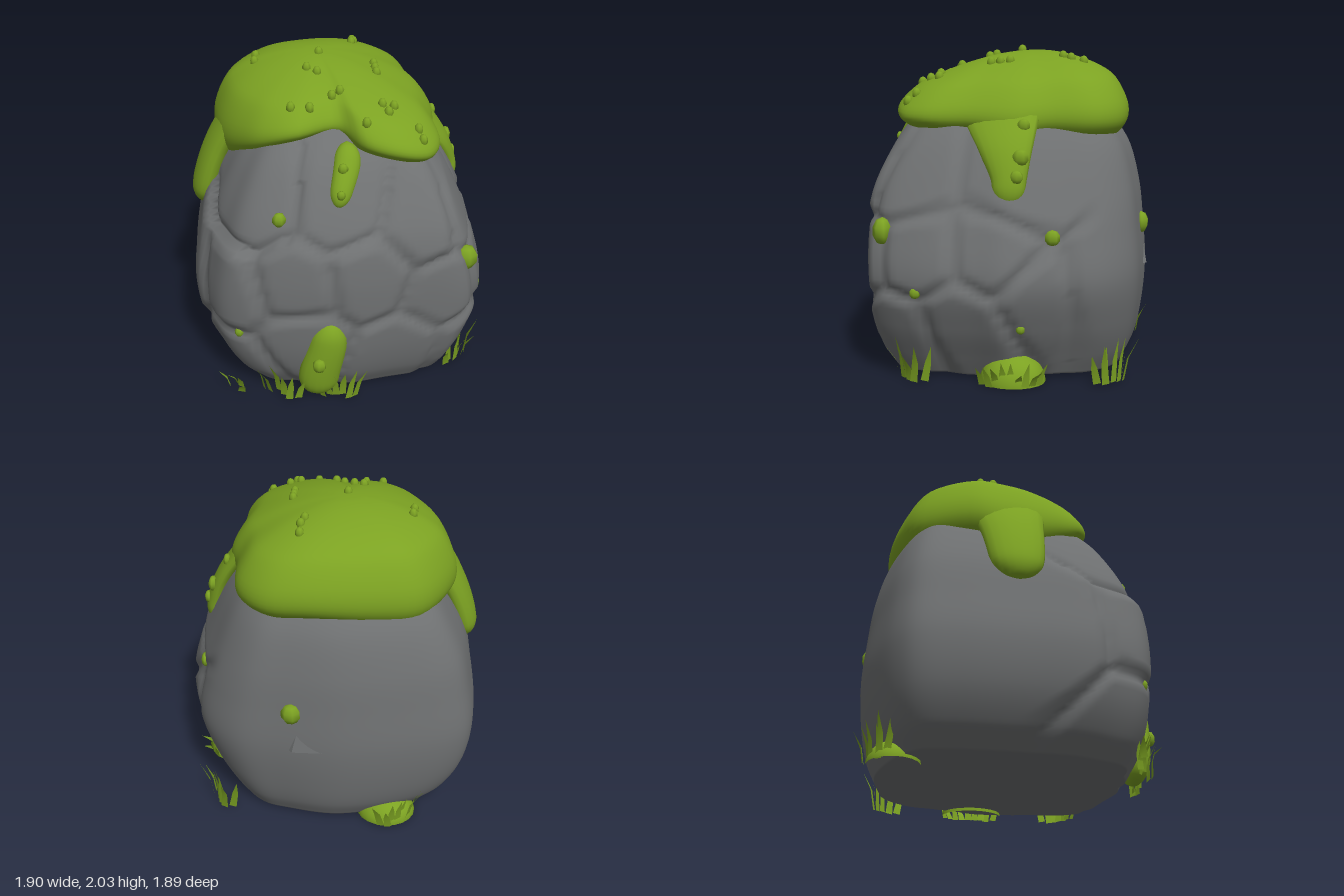
import * as THREE from 'three';

const V = (x, y, z) => new THREE.Vector3(x, y, z);
const mat = (name, color, side = THREE.FrontSide) => {
  const m = new THREE.MeshStandardMaterial({ color, side });
  m.name = name;
  return m;
};

let seed = 7;
const rand = () => (seed = (seed * 16807) % 2147483647) / 2147483647;

// Skin a stack of closed rings (bottom to top) and close both ends
function loft(rings) {
  const n = rings[0].length, pos = [], idx = [];
  rings.forEach(r => r.forEach(p => pos.push(p.x, p.y, p.z)));
  for (let i = 0; i < rings.length - 1; i++) for (let j = 0; j < n; j++) {
    const a = i * n + j, b = i * n + (j + 1) % n;
    idx.push(a, a + n, b, a + n, b + n, b);
  }
  [0, rings.length - 1].forEach(k => {
    const c = rings[k].reduce((s, p) => s.add(p), V(0, 0, 0)).divideScalar(n);
    const ci = pos.length / 3;
    pos.push(c.x, c.y, c.z);
    for (let j = 0; j < n; j++) {
      const a = k * n + j, b = k * n + (j + 1) % n;
      k ? idx.push(a, ci, b) : idx.push(a, b, ci);
    }
  });
  const g = new THREE.BufferGeometry();
  g.setAttribute('position', new THREE.Float32BufferAttribute(pos, 3));
  g.setIndex(idx);
  g.computeVertexNormals();
  return g;
}

// Boulder: half-extents by height as [y, +x, -x, +z, -z]
const SECTIONS = [
  [0.02, 0.70, 0.70, 0.74, 0.80], [0.15, 0.77, 0.82, 0.81, 0.86], [0.35, 0.87, 0.92, 0.86, 0.90],
  [0.62, 0.95, 0.96, 0.88, 0.92], [0.9, 0.89, 0.92, 0.88, 0.90], [1.15, 0.79, 0.86, 0.84, 0.87],
  [1.4, 0.67, 0.74, 0.72, 0.80], [1.55, 0.57, 0.64, 0.62, 0.70], [1.68, 0.46, 0.52, 0.48, 0.55],
  [1.82, 0.28, 0.3, 0.26, 0.34],
];
// Boulder plan at its widest as [x, z]
const PLAN = [
  [0.95, -0.05], [0.93, 0.12], [0.91, 0.35], [0.88, 0.5], [0.82, 0.67], [0.73, 0.77], [0.3, 0.84], [-0.1, 0.88],
  [-0.55, 0.82], [-0.78, 0.71], [-0.88, 0.52], [-0.95, 0.33], [-0.96, 0], [-0.95, -0.4], [-0.9, -0.65],
  [-0.79, -0.75], [-0.55, -0.84], [-0.1, -0.92], [0.3, -0.88], [0.55, -0.82], [0.75, -0.65], [0.86, -0.4],
  [0.92, -0.2],
];
// Stone chunks on the front and left faces as [x, y, z, how far they stand out]
const CHUNKS = [
  [-0.05, 1.32, 0.73, -0.025], [0.45, 1.2, 0.75, 0.01], [-0.75, 0.75, 0.68, 0], [-0.32, 0.45, 0.85, -0.01],
  [0.1, 0.9, 0.86, 0], [0.6, 0.75, 0.8, -0.01], [0.3, 0.3, 0.83, 0], [-0.55, 1.3, 0.58, -0.06],
  [-0.75, 0.25, 0.65, -0.01], [-0.35, 0.85, 0.85, -0.01], [0.75, 0.3, 0.6, 0], [0.88, 0.8, 0.5, -0.01],
  [0.72, 1.2, 0.58, -0.005], [0.75, 1.15, -0.15, 0], [0.88, 0.35, 0.2, 0], [0.93, 0.55, -0.3, -0.01],
  [0.9, 0.83, -0.02, -0.015], [0.8, 0.6, -0.65, 0], [-0.93, 0.7, 0.2, 0],
].map(([x, y, z, out]) => ({ seat: V(x, y, z), out }));

function boulder() {
  const curves = [1, 2, 3, 4].map(k =>
    new THREE.CatmullRomCurve3(SECTIONS.map(s => V(s[k], s[0], 0)), false, 'centripetal'));
  const rows = 90, cols = 160, rings = [];
  const plan = new THREE.CatmullRomCurve3(PLAN.map(([x, z]) => V(x, 0, z)), true, 'centripetal')
    .getSpacedPoints(cols).slice(0, cols);
  for (let i = 0; i <= rows; i++) {
    const [xp, xn, zp, zn] = curves.map(c => c.getPoint(i / rows));
    rings.push(plan.map(q => {
      const p = V(q.x * (q.x > 0 ? xp.x / 0.95 : xn.x / 0.96), xp.y,
        q.z * (q.z > 0 ? zp.x / 0.88 : zn.x / 0.92));
      // Cracks run where the two nearest chunks are equally far
      const d = CHUNKS.map(c => [c.seat.distanceTo(p), c.out]).sort((a, b) => a[0] - b[0]);
      const gap = Math.max(0, 1 - (d[1][0] - d[0][0]) / 0.12);
      const side = p.x - 0.4 + Math.min(0, p.z + 0.3);
      const mask = THREE.MathUtils.smoothstep(Math.max(p.z, side), -0.1, 0.25);
      const k = 1 + mask * (d[0][1] - 0.035 * gap);
      p.x *= k; p.z *= k;
      return p;
    }));
  }
  return loft(rings);
}

// Moss cap: outline as [x, lip height, z], swept with a rounded lip profile
const OUTLINE = [
  [0.62, 1.44, -0.1], [0.58, 1.48, 0.2], [0.57, 1.49, 0.45], [0.48, 1.5, 0.6], [0.3, 1.55, 0.66], [0.1, 1.6, 0.61],
  [-0.05, 1.65, 0.44], [-0.3, 1.64, 0.51], [-0.5, 1.56, 0.43], [-0.64, 1.46, 0.27], [-0.74, 1.38, 0.08],
  [-0.78, 1.36, -0.12], [-0.77, 1.4, -0.32], [-0.58, 1.4, -0.64], [-0.32, 1.43, -0.74], [0.1, 1.47, -0.79],
  [0.36, 1.45, -0.74], [0.52, 1.45, -0.58], [0.56, 1.46, -0.3],
];
const LIP = [[0.72, 0.1], [0.88, 0.02], [0.97, 0.12], [1, 0.26], [0.97, 0.44], [0.87, 0.66],
  [0.75, 0.78], [0.55, 0.89], [0.3, 0.97], [0.1, 1]];

function mossCap() {
  const edge = new THREE.CatmullRomCurve3(OUTLINE.map(p => V(...p)), true).getPoints(96).slice(0, 96);
  const profile = new THREE.SplineCurve(LIP.map(p => new THREE.Vector2(...p))).getPoints(27);
  const ramp = v => (v + Math.hypot(v, 0.25)) / 2;
  return loft(profile.map(({ x: f, y: a }) => edge.map(p => {
    const x = -0.12 + (p.x + 0.12) * f, z = -0.14 + (p.z + 0.14) * f;
    // The crown slopes down towards the front and the left
    const slope = 0.18 * (ramp(x - 0.1) + ramp(z));
    return V(x, p.y + (2.015 - p.y - slope) * a, z);
  })));
}

// Moss run: path from bottom to top as [x, y, z, half width], lying on a face with normal n
function mossRun(path, n, depth, roundTop = false) {
  const curve = new THREE.CatmullRomCurve3(path.map(p => V(p[0], p[1], p[2])));
  const width = new THREE.CatmullRomCurve3(path.map(p => V(p[3], 0, 0)));
  const rings = [];
  for (let i = 0; i <= 24; i++) {
    const t = i / 24, u = curve.getTangent(t), p = curve.getPoint(t);
    const across = u.clone().cross(n).normalize(), out = across.clone().cross(u);
    const round = q => Math.sqrt(Math.max(0.01, 1 - (1 - Math.min(1, q / 0.25)) ** 2));
    const s = round(t) * (roundTop ? round(1 - t) : 1);
    rings.push(Array.from({ length: 18 }, (_, j) => {
      const a = j / 18 * Math.PI * 2;
      return p.clone().addScaledVector(across, Math.cos(a) * width.getPoint(t).x * s)
        .addScaledVector(out, Math.sin(a) * depth * s);
    }));
  }
  return loft(rings);
}

// Grass blade: a tapering strip that bends outward
function blade(h, w, lean) {
  const pos = [];
  [[0, 1], [0.5, 0.8], [1, 0]].forEach(([t, k]) =>
    pos.push(-w * k, h * t, lean * t * t, w * k, h * t, lean * t * t));
  const g = new THREE.BufferGeometry();
  g.setAttribute('position', new THREE.Float32BufferAttribute(pos, 3));
  g.setIndex([0, 1, 3, 0, 3, 2, 2, 3, 5]);
  g.computeVertexNormals();
  return g;
}

export function createModel() {
  const root = new THREE.Group();
  const stone = mat('stone grey', 0x6f7172);
  const moss = mat('moss green', 0x7ca222);
  const grass = mat('grass green', 0x7ca222, THREE.DoubleSide);
  const add = (name, geo, m, parent = root) => {
    const mesh = new THREE.Mesh(geo, m);
    mesh.name = name;
    parent.add(mesh);
    return mesh;
  };

  const rock = add('boulder', boulder(), stone);
  // Stone wedge sticking out of the back
  const wedgeGeo = new THREE.CylinderGeometry(0.08, 0.2, 0.3, 5).toNonIndexed();
  wedgeGeo.computeVertexNormals();
  const wedge = add('backWedge', wedgeGeo, stone);
  wedge.scale.z = 0.4;
  wedge.position.set(0.07, 0.78, -0.845);
  wedge.rotation.x = 0.06;

  // Moss draped over the top and running down
  const cap = add('mossCap', mossCap(), moss);
  const leftRun = add('leftMossRun', mossRun([[0.76, 1.07, -0.07, 0.09], [0.74, 1.22, -0.08, 0.105],
    [0.67, 1.4, -0.06, 0.16], [0.5, 1.62, -0.02, 0.25]], V(1, 0, 0), 0.06), moss);
  add('rightMossRun', mossRun([[-0.88, 1.0, -0.07, 0.13], [-0.85, 1.18, -0.07, 0.17], [-0.76, 1.42, -0.08, 0.2],
    [-0.6, 1.68, -0.1, 0.26]], V(-1, 0, 0), 0.09), moss);
  const drip = add('frontMossDrip', mossRun([[-0.08, 1.32, 0.71, 0.05], [-0.05, 1.42, 0.67, 0.07],
    [-0.01, 1.54, 0.59, 0.08], [0, 1.65, 0.5, 0.07]], V(0, 0, 1), 0.06, true), moss);
  const pod = add('frontMossPod', mossRun([[-0.21, 0.01, 0.77, 0.12], [-0.2, 0.2, 0.81, 0.13],
    [-0.15, 0.43, 0.83, 0.12], [-0.13, 0.61, 0.82, 0.09]], V(0, 0, 1), 0.085, true), moss);

  // Small moss clumps, dropped onto a surface along one axis
  const lumps = new THREE.Group();
  lumps.name = 'mossLumps';
  root.add(lumps);
  root.updateMatrixWorld(true);
  const ray = new THREE.Raycaster();
  const lump = (target, x, y, z, axis, size) => {
    const from = V(x, y, z);
    from[axis] = Math.sign(from[axis]) * 3;
    ray.set(from, V(0, 0, 0).setComponent('xyz'.indexOf(axis), -Math.sign(from[axis])));
    const hit = ray.intersectObject(target)[0];
    if (!hit) return;
    const g = new THREE.SphereGeometry(1, 7, 5);
    g.rotateY(rand() * 6);
    const m = add('mossLump', g, moss, lumps);
    m.position.copy(hit.point);
    m.scale.set(...size);
  };
  [[rock, 0.72, 0.91, 1, 'z', 0.085], [rock, -0.42, 1.26, 1, 'z', 0.048], [rock, -0.69, 0.48, 1, 'z', 0.035],
    [rock, 1, 0.57, 0.46, 'x', 0.035], [rock, 1, 0.36, -0.16, 'x', 0.028], [rock, 0.19, 0.9, -1, 'z', 0.07],
    [rock, 1, 0.9, -0.34, 'x', 0.048], [leftRun, 1, 1.54, -0.16, 'x', 0.04], [leftRun, 1, 1.36, -0.15, 'x', 0.05],
    [leftRun, 1, 1.25, -0.13, 'x', 0.04], [pod, -0.21, 0.32, 1, 'z', 0.05], [drip, -0.04, 1.55, 1, 'z', 0.035],
    [drip, -0.06, 1.42, 1, 'z', 0.03]]
    .forEach(([target, x, y, z, axis, r]) =>
      lump(target, x, y, z, axis, axis === 'x' ? [r * 0.6, r, r] : [r * 0.9, r, r * 0.7]));
  // Sprouts resting on the cap
  [[0.15, -0.5], [0.15, -0.42], [0.13, -0.37], [-0.5, -0.24], [-0.51, -0.16], [-0.11, -0.09], [-0.2, 0.09],
    [-0.14, 0.13], [0.23, -0.04], [0.23, 0.02], [0.23, 0.08], [-0.02, 0.3], [-0.07, 0.32], [-0.32, 0.4],
    [-0.21, 0.41], [0.22, 0.4], [0.29, 0.4], [0.25, 0.46], [0.11, 0.54], [0.42, 0.52], [0.44, 0.57]]
    .forEach(([x, z]) => lump(cap, x, 3, z, 'y', [0.028, 0.038, 0.03]));

  // Moss mounds around the foot
  [[0.69, -0.1, 0.17, 0.18, 0.2], [-0.4, -0.71, 0.19, 0.14, 0.16]]
    .forEach(([x, z, sx, sy, sz]) => {
      const m = add('mossMound', new THREE.SphereGeometry(1, 20, 10, 0, Math.PI * 2, 0, Math.PI / 2), moss);
      m.position.set(x, 0, z);
      m.scale.set(sx, sy, sz);
    });

  // Grass tufts: [x, z, spread, height, count], leaning away from the boulder
  [[-0.45, 0.78, 0.12, 0.28, 6], [-0.08, 0.84, 0.1, 0.27, 6], [-0.72, 0.68, 0.05, 0.14, 4], [0.75, 0.53, 0.11, 0.26, 7],
    [0.83, -0.1, 0.17, 0.16, 9], [0.69, -0.7, 0.1, 0.29, 7], [-0.47, -0.83, 0.11, 0.25, 7]]
    .forEach(([x, z, spread, h, count]) => {
      const tuft = new THREE.Group();
      tuft.name = 'grassTuft';
      tuft.position.set(x, 0.01, z);
      tuft.rotation.y = Math.atan2(x, z);
      for (let i = 0; i < count; i++) {
        const s = i / (count - 1) * 2 - 1;
        const b = add('grassBlade', blade(h * (0.6 + 0.4 * rand()), 0.024, 0.03 + 0.06 * rand()), grass, tuft);
        b.position.set(s * spread, 0, (rand() - 0.5) * 0.06);
        b.rotation.set(0, s * 0.7, -s * 0.2);
      }
      root.add(tuft);
    });
  return root;
}
